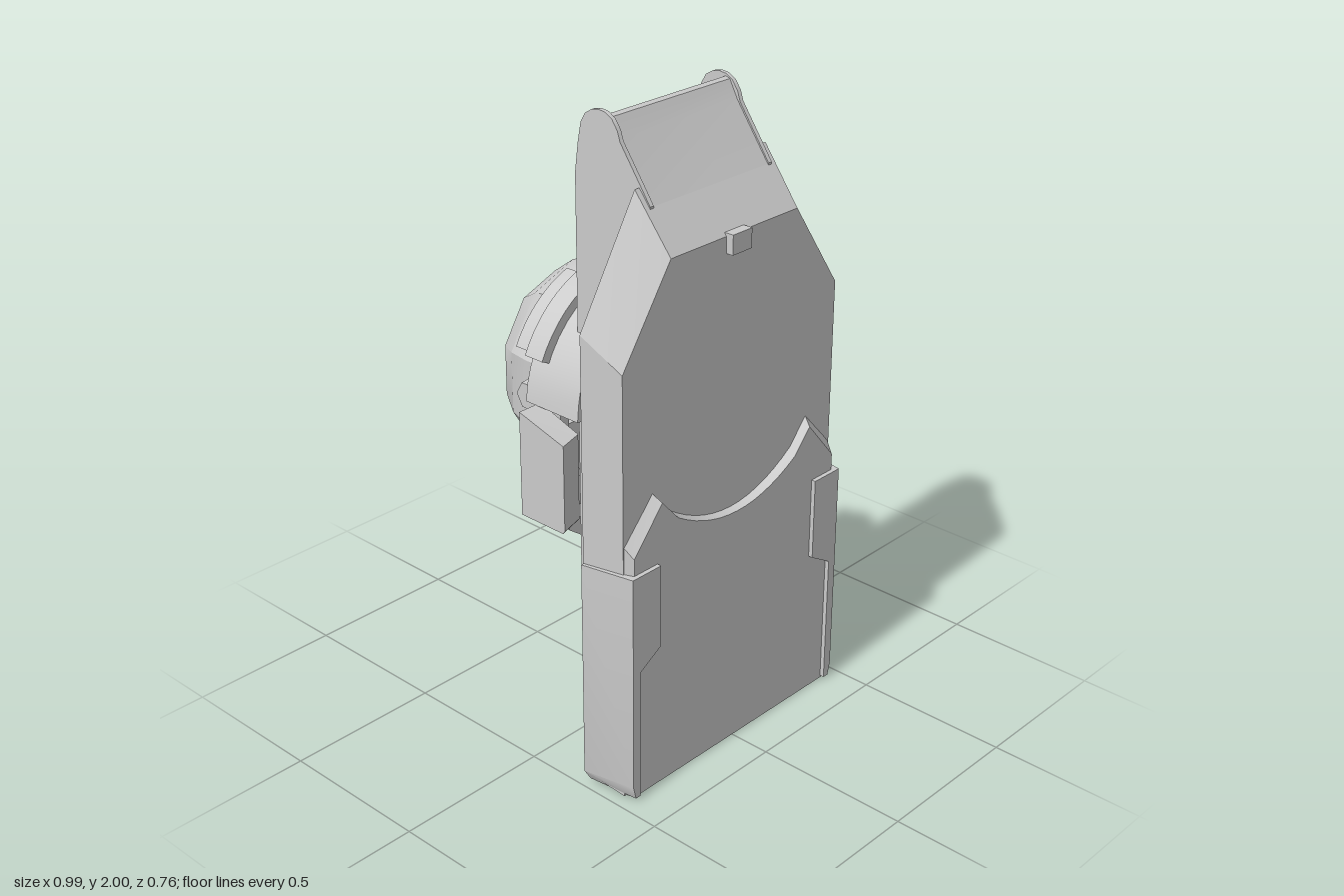
import * as THREE from 'three';
import { toCreasedNormals } from 'three/addons/utils/BufferGeometryUtils.js';

const mat = new THREE.MeshStandardMaterial({ color: 0xcccccc, side: THREE.DoubleSide });

function add(parent, name, geometry) {
  const mesh = new THREE.Mesh(toCreasedNormals(geometry, 0.5), mat);
  mesh.name = name;
  parent.add(mesh);
  return mesh;
}
const shapeOf = (pts) => new THREE.Shape(pts.map((p) => new THREE.Vector2(p[0], p[1])));

// Right half outline (bottom to top) completed by its mirror image, counter-clockwise
const mirrored = (half) => [...half, ...half.slice().reverse().filter((p) => p[0] > 0).map(([x, y]) => [-x, y])];

// Solid between a back outline at z0 and a front outline at z1
function loft(back, z0, front, z1) {
  const n = back.length, pos = [], idx = [];
  back.forEach(([x, y]) => pos.push(x, y, z0));
  front.forEach(([x, y]) => pos.push(x, y, z1));
  for (let i = 0; i < n; i++) {
    const j = (i + 1) % n;
    idx.push(i, j, n + j, i, n + j, n + i);
  }
  const caps = (o) => THREE.ShapeUtils.triangulateShape(o.map((p) => new THREE.Vector2(...p)), []);
  caps(front).forEach(([a, b, c]) => idx.push(n + a, n + b, n + c));
  caps(back).forEach(([a, b, c]) => idx.push(a, c, b));
  const g = new THREE.BufferGeometry();
  g.setAttribute('position', new THREE.Float32BufferAttribute(pos, 3));
  g.setIndex(idx);
  return g;
}

// Side profile given as [z, y], extruded from x0 to x1
function sideProfile(pts, x0, x1) {
  const g = new THREE.ExtrudeGeometry(shapeOf(pts), { depth: x1 - x0, bevelEnabled: false });
  return g.rotateY(-Math.PI / 2).translate(x1, 0, 0);
}

// Curved strip around the helmet axis, from angle a0 to a1, thickness r0 to r1
function arcBand(r0, r1, a0, a1, zBack, zFront, steps = 8) {
  const pos = [], idx = [];
  for (let i = 0; i <= steps; i++) {
    const t = i / steps, a = THREE.MathUtils.degToRad(a0 + (a1 - a0) * t);
    [[r0, zBack], [r1, zBack], [r1, zFront(t)], [r0, zFront(t)]].forEach(([r, z]) =>
      pos.push(r * Math.cos(a), 1.08 + r * Math.sin(a), z));
    if (i < steps) for (let k = 0; k < 4; k++) {
      const p = i * 4 + k, q = i * 4 + (k + 1) % 4;
      idx.push(p, p + 4, q + 4, p, q + 4, q);
    }
  }
  const e = steps * 4;
  idx.push(0, 1, 2, 0, 2, 3, e, e + 2, e + 1, e, e + 3, e + 2);
  const g = new THREE.BufferGeometry();
  g.setAttribute('position', new THREE.Float32BufferAttribute(pos, 3));
  g.setIndex(idx);
  return g;
}

export function createModel() {
  const model = new THREE.Group();
  const pack = new THREE.Group();
  pack.name = 'packBody';
  const helmet = new THREE.Group();
  helmet.name = 'helmet';
  model.add(pack, helmet);

  // Wide front slab with bevelled edges and cut top corners
  add(pack, 'frontSlab', loft(
    mirrored([[0.485, 0.04], [0.485, 1.46], [0.27, 1.815]]), 0.21,
    mirrored([[0.455, 0], [0.455, 1.37], [0.265, 1.65]]), 0.338));

  // Central column with a ramp in front and a sloping back at the top
  add(pack, 'column', sideProfile([
    [0.3, 0.005], [0.335, 0.05], [0.335, 1.645], [0.13, 1.93], [0.1, 1.985], [0.085, 1.99],
    [0.03, 1.93], [-0.025, 1.82], [-0.025, 0.18], [0.06, 0.13]], -0.24, 0.24));

  // Thin side rails with rounded tops and notched feet
  const rail = [[0.25, 0.02], [0.25, 1.77], [0.215, 1.82], [0.14, 1.925], [0.13, 1.955], [0.11, 1.983], [0.085, 1.997],
    [0.06, 2], [0.035, 1.995], [0.01, 1.98], [-0.008, 1.95], [-0.02, 1.89], [-0.032, 1.8], [-0.032, 0.18],
    [-0.02, 0.145], [0.01, 0.125], [0.06, 0.118], [0.08, 0.1], [0.09, 0.05], [0.135, 0.055], [0.13, 0.075], [0.15, 0.085]];

  // Raised lower front plate with a scooped, bevelled top edge
  const scoop = (tipX, tipY, outX, outY, low, dip) => {
    const half = [[outX, low], [outX, outY], [tipX, tipY]];
    for (let i = 1; i <= 8; i++) {
      const x = (tipX - 0.03) * (1 - i / 8);
      half.push([x, dip + (tipY - 0.05 - dip) * (x / (tipX - 0.03)) ** 2]);
    }
    return mirrored(half);
  };
  add(pack, 'lowerPlate', loft(
    scoop(0.34, 0.975, 0.455, 0.85, 0.003, 0.795), 0.33,
    scoop(0.325, 0.945, 0.44, 0.81, 0.003, 0.79), 0.366));

  // Small latch below the ramp
  add(pack, 'latch', new THREE.BoxGeometry(0.08, 0.06, 0.04)).position.set(0, 1.63, 0.342);

  for (const s of [1, -1]) {
    const tag = s > 0 ? 'left' : 'right';
    add(pack, tag + 'Rail', s > 0 ? sideProfile(rail, 0.238, 0.252) : sideProfile(rail, -0.252, -0.238));

    // Lower corner clamp, tapering towards the front
    const clampBack = [[0.43, 0.01], [0.47, 0.01], [0.495, 0.05], [0.495, 0.757], [0.345, 0.757], [0.345, 0.49], [0.43, 0.44]];
    const clampFront = clampBack.map(([x, y]) => [Math.min(x, 0.46), y]);
    clampFront[1] = [0.45, 0.01];
    const flip = (o) => (s > 0 ? o : o.map(([x, y]) => [-x, y]).reverse());
    add(pack, tag + 'Clamp', loft(flip(clampBack), 0.212, flip(clampFront), 0.38));

    const side = new THREE.Group();
    side.name = tag + 'HelmetSide';
    side.scale.x = s;
    helmet.add(side);

    // Visor shell and the two straps over the dome
    add(side, 'shell', arcBand(0.325, 0.35, 3, 73, -0.15, (t) => 0.06 - 0.09 * t * t));
    add(side, 'frontStrap', arcBand(0.34, 0.38, 25, 74, -0.155, () => -0.085));
    add(side, 'rearStrap', arcBand(0.33, 0.365, 27, 72, -0.212, () => -0.155));

    // Cheek pad with a sloping top
    const pad = new THREE.ExtrudeGeometry(shapeOf([[-0.11, 0.765], [0.06, 0.765], [0.068, 0.775],
      [0.068, 1.05], [-0.11, 1.1]]), { depth: 0.085, bevelEnabled: false });
    const p = pad.attributes.position;
    for (let i = 0; i < p.count; i++) // inner side gets shorter at the front
      if (p.getZ(i) > 0.05 && p.getX(i) > 0) p.setX(i, p.getX(i) - 0.025);
    add(side, 'cheekPad', pad.rotateY(-Math.PI / 2).translate(0.416, 0, 0));

    // Side knob
    add(side, 'knob', new THREE.CylinderGeometry(0.045, 0.05, 0.05, 6).rotateZ(-Math.PI / 2))
      .position.set(0.305, 1.1, -0.165);
  }

  // Faceted dome with a flat back
  const dome = new THREE.LatheGeometry([[0, -0.38], [0.258, -0.38], [0.318, -0.3], [0.348, -0.21], [0.345, -0.08]]
    .map(([r, z]) => new THREE.Vector2(r, z)), 10);
  add(helmet, 'dome', dome.rotateX(Math.PI / 2).scale(0.87, 1, 1).translate(0, 1.08, 0));

  // Jaw frame around the face opening
  const jaw = shapeOf(mirrored([[0.2, 0.62], [0.27, 0.67], [0.3, 0.76], [0.3, 1.24]]));
  jaw.holes.push(new THREE.Path(mirrored([[0.18, 0.66], [0.25, 0.72], [0.265, 0.8], [0.265, 1.22]])
    .map((q) => new THREE.Vector2(...q))));
  add(helmet, 'jawFrame', new THREE.ExtrudeGeometry(jaw, { depth: 0.11, bevelEnabled: false }).translate(0, 0, -0.17));

  // Sloping wall joining jaw and dome
  add(helmet, 'jawBack', loft(
    mirrored([[0.17, 0.745], [0.24, 0.82], [0.26, 0.95]]), -0.21,
    mirrored([[0.2, 0.625], [0.27, 0.67], [0.3, 0.95]]), -0.168));

  // Round cap on the crown
  add(helmet, 'crownCap', new THREE.CylinderGeometry(0.067, 0.067, 0.05, 20)).position.set(0, 1.425, -0.155);

  return model;
}
